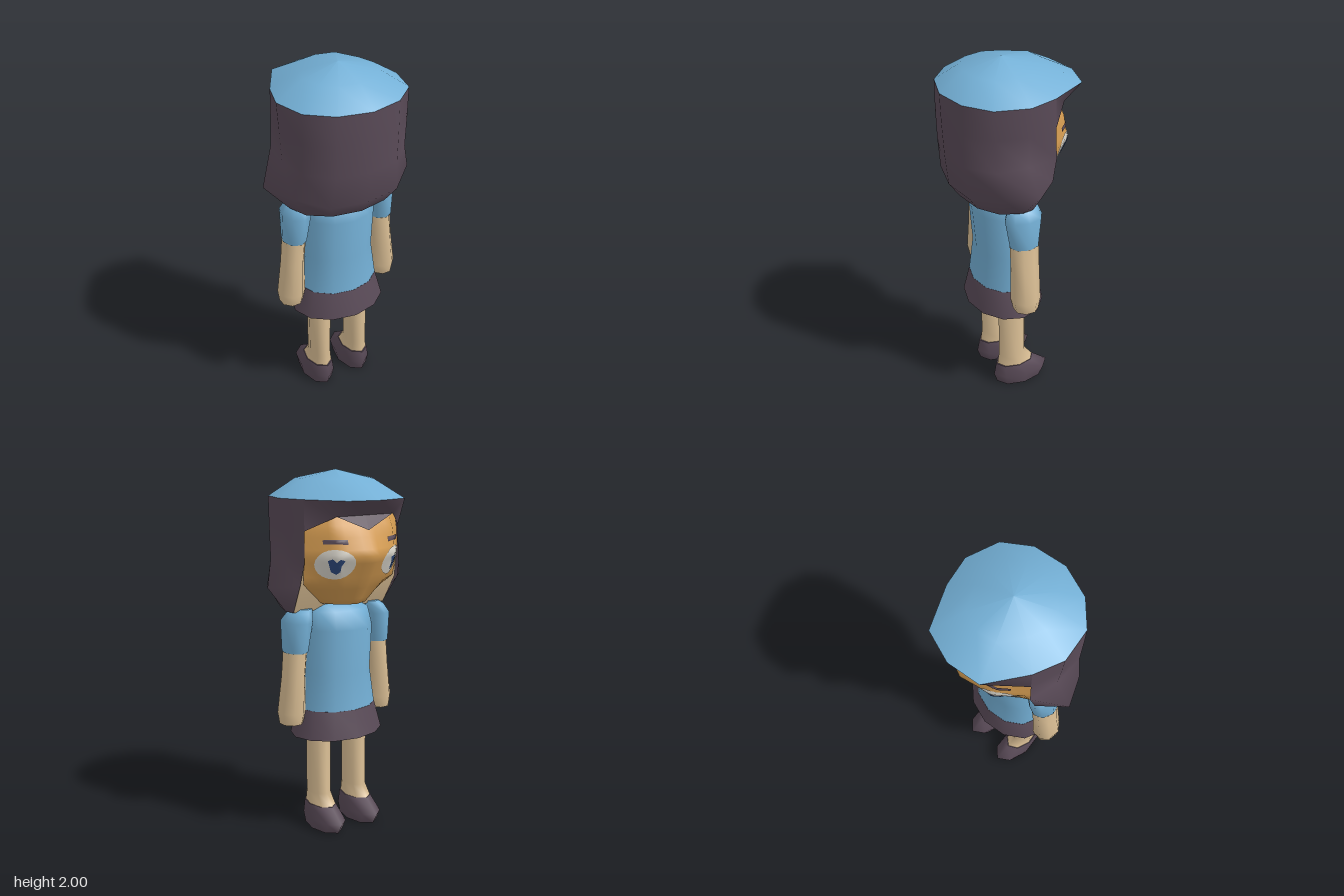
import * as THREE from 'three';

const mat = (name, color, side = THREE.FrontSide) => {
  const m = new THREE.MeshStandardMaterial({ color, side });
  m.name = name;
  return m;
};

// Surface through rows of points (rows run top to bottom, columns from +x towards +z)
function grid(rows, closed = false, caps = false) {
  const n = rows[0].length, pos = rows.flat(2), idx = [];
  for (let i = 0; i < rows.length - 1; i++) {
    for (let j = 0; j < (closed ? n : n - 1); j++) {
      const k = (j + 1) % n, a = i * n + j, b = i * n + k;
      idx.push(a, b, a + n, b, b + n, a + n);
    }
  }
  if (caps) {
    for (const [row, top] of [[rows[0], true], [rows[rows.length - 1], false]]) {
      const base = pos.length / 3;
      const mid = [0, 1, 2].map(c => row.reduce((s, p) => s + p[c], 0) / n);
      pos.push(...mid, ...row.flat());
      for (let j = 0; j < n; j++) {
        const p = base + 1 + j, q = base + 1 + (j + 1) % n;
        idx.push(base, top ? q : p, top ? p : q);
      }
    }
  }
  const g = new THREE.BufferGeometry();
  g.setAttribute('position', new THREE.Float32BufferAttribute(pos, 3));
  g.setIndex(idx);
  g.computeVertexNormals();
  return g;
}

// Elliptical sections: [y, centre x, centre z, radius x, radius z]
const loft = (sections, n, phase = 0) => grid(sections.map(([y, cx, cz, rx, rz]) =>
  Array.from({ length: n }, (_, j) => {
    const a = phase + j / n * Math.PI * 2;
    return [cx + rx * Math.cos(a), y, cz + rz * Math.sin(a)];
  })), true, true);

const flip = ([x, y, z]) => [-x, y, z];
// Half row from +x to the middle, mirrored to a full row
const mirrorRow = half => [...half, ...half.slice(0, -1).reverse().map(flip)];

// Face sections: [y, side x, side z, cheek x, cheek z, middle z]
const FACE = [
  [1.81, 0.295, -0.09, 0.17, -0.19, -0.2],
  [1.70, 0.302, -0.115, 0.18, -0.235, -0.258],
  [1.57, 0.306, -0.122, 0.18, -0.26, -0.318],
  [1.42, 0.295, -0.095, 0.15, -0.2, -0.237],
  [1.295, 0.14, -0.03, 0.09, -0.12, -0.16],
  [1.285, 0.1, 0, 0.05, 0, 0],
];

// Point on the face; u runs from -2 to 2 across it, lift raises it off the surface
function facePoint(u, y, lift = 0) {
  let i = 0;
  while (i < FACE.length - 2 && y < FACE[i + 1][0]) i++;
  const t = (FACE[i][0] - y) / (FACE[i][0] - FACE[i + 1][0]);
  const [, x2, z2, x1, z1, z0] = FACE[i].map((v, k) => v + (FACE[i + 1][k] - v) * t);
  const a = Math.abs(u);
  const x = a < 1 ? x1 * a : x1 + (x2 - x1) * (a - 1);
  const z = a < 1 ? z0 + (z1 - z0) * a : z1 + (z2 - z1) * (a - 1);
  const d = new THREE.Vector3(x * 0.8, 0, z).normalize().multiplyScalar(lift);
  return [Math.sign(u) * (x + d.x), y, z + d.z];
}

// Painted patch on the face from an outline of [u, y] offsets
function patch(u, y, outline, side, lift) {
  const rows = [1, 0.66, 0.33, 0].map(s =>
    outline.map(([du, dy]) => facePoint(side * (u + du * s), y + dy * s, lift)));
  return grid(rows, true);
}

export function createModel() {
  const model = new THREE.Group();
  const blue = mat('blue cloth', 0x74b0d6);
  const dark = mat('dark plum', 0x5a4b58);
  const hairMat = mat('plum hair', 0x5a4b58, THREE.DoubleSide);
  const skin = mat('skin', 0xdcc096);
  const skinPlate = mat('skin under hair', 0xdcc096, THREE.DoubleSide);
  const faceMat = mat('face', 0xd69d52, THREE.DoubleSide);
  const white = mat('eye white', 0xdcd8ce, THREE.DoubleSide);
  const iris = mat('iris blue', 0x304c80, THREE.DoubleSide);
  const add = (name, geo, m, parent = model) => {
    const mesh = new THREE.Mesh(geo, m);
    mesh.name = name;
    parent.add(mesh);
  };

  // Cap: dome over a twelve-sided rim
  const rimBack = mirrorRow([[0.305, 1.86, -0.12], [0.355, 1.86, 0.04], [0.31, 1.86, 0.22],
    [0.18, 1.86, 0.33], [0, 1.86, 0.373]]);
  const rimFront = mirrorRow([[0.305, 1.86, -0.12], [0.18, 1.86, -0.335], [0, 1.86, -0.375]]).reverse();
  const rim = [...rimBack, ...rimFront.slice(1, -1)];
  const scaled = (s, y) => rim.map(([x, , z]) => [x * s, y, 0.035 + (z - 0.015) * s]);
  add('cap', grid([scaled(0, 2), scaled(0.58, 1.955), rim], true), blue);

  // Hair: sides and back, flaring out at the jaw
  const hem = mirrorRow([[0.3, 1.255, -0.005], [0.31, 1.255, 0.06], [0.27, 1.255, 0.17],
    [0.16, 1.255, 0.25], [0, 1.255, 0.28]]);
  add('hair', grid([
    rimBack,
    mirrorRow([[0.305, 1.7, -0.125], [0.343, 1.7, 0.04], [0.31, 1.7, 0.215], [0.18, 1.7, 0.33], [0, 1.7, 0.368]]),
    mirrorRow([[0.31, 1.53, -0.13], [0.33, 1.52, 0.035], [0.31, 1.52, 0.205], [0.18, 1.52, 0.325], [0, 1.52, 0.358]]),
    mirrorRow([[0.322, 1.41, -0.105], [0.44, 1.4, 0.025], [0.35, 1.38, 0.18], [0.2, 1.34, 0.305], [0, 1.34, 0.34]]),
    hem,
  ]), hairMat);

  // Fringe: overhang with a point in the middle
  const peak = [0.18, 1.775, -0.235];
  const line = mirrorRow([[0.305, 1.7, -0.125], peak, [0, 1.775, -0.237]]).reverse();
  add('fringe', grid([rimFront, line]), hairMat);
  const tip = [0, 1.7, -0.266];
  add('fringePoint', grid([line.slice(1, 4), [tip, tip, tip]]), hairMat);

  // Skin between the hair and the jaw, and under the head
  const across = (x, y, z) => [[-x, y, z], [0, y, z], [x, y, z]];
  add('jawSkin', grid([across(0.308, 1.53, -0.11), across(0.318, 1.41, -0.085), across(0.3, 1.255, -0.005)]), skinPlate);
  add('headUnderside', grid([hem, hem.map(() => [0, 1.256, 0.05])]), skinPlate);
  add('neck', loft([[1.31, 0, 0.03, 0.09, 0.09], [1.2, 0, 0.03, 0.1, 0.09]], 8), faceMat);

  // Face, sampled along the same rule as its painted details
  const faceRows = [];
  for (let i = 0; i < FACE.length - 1; i++) {
    for (let k = 0; k < 4; k++) faceRows.push(FACE[i][0] + (FACE[i + 1][0] - FACE[i][0]) * k / 4);
  }
  faceRows.push(FACE[FACE.length - 1][0]);
  add('face', grid(faceRows.map(y => Array.from({ length: 17 }, (_, j) => facePoint(-2 + j / 4, y)))), faceMat);

  const oval = Array.from({ length: 20 }, (_, j) => {
    const a = j / 20 * Math.PI * 2;
    return [0.6 * Math.cos(a), 0.08 * Math.sin(a)];
  });
  const pupil = [[-0.24, 0.03], [-0.1, 0.038], [0, 0.02], [0.12, 0.04], [0.25, 0.03],
    [0.2, 0], [0.15, -0.03], [0, -0.045], [-0.12, -0.03], [-0.14, 0]];
  const brow = [[-0.37, 0.01], [0, 0.014], [0.37, 0.01], [0.37, -0.012], [0, -0.01], [-0.37, -0.014]];

  for (const s of [1, -1]) {
    const side = s > 0 ? 'left' : 'right';
    add(side + 'Eye', patch(1.1, 1.53, oval, s, 0.005), white);
    add(side + 'Pupil', patch(1.07, 1.522, pupil, s, 0.009), iris);
    add(side + 'Brow', patch(1.07, 1.647, brow, s, 0.006), hairMat);

    // Arm: short sleeve and bare forearm
    add(side + 'Sleeve', loft([
      [1.27, s * 0.225, 0.02, 0.045, 0.06], [1.25, s * 0.24, 0.025, 0.06, 0.085],
      [1.2, s * 0.26, 0.03, 0.078, 0.108], [1.035, s * 0.272, 0.03, 0.066, 0.084],
    ], 8), blue);
    add(side + 'Arm', loft([
      [1.035, s * 0.272, 0.03, 0.063, 0.081], [0.9, s * 0.284, 0.03, 0.062, 0.08],
      [0.7, s * 0.297, 0.032, 0.076, 0.084], [0.635, s * 0.3, 0.03, 0.064, 0.07],
    ], 8, Math.PI / 8), skin);

    // Leg and shoe, toes towards -z
    add(side + 'Leg', loft([
      [0.6, s * 0.122, 0.03, 0.062, 0.083], [0.2, s * 0.122, 0.03, 0.06, 0.083],
      [0.135, s * 0.122, 0.01, 0.068, 0.112],
    ], 8), skin);
    add(side + 'Shoe', loft([
      [0.135, s * 0.122, 0.013, 0.072, 0.118], [0.06, s * 0.122, -0.027, 0.088, 0.172],
      [0, s * 0.122, -0.02, 0.08, 0.145],
    ], 8), dark);
  }

  // Shirt and skirt
  add('shirt', loft([
    [1.285, 0, 0.03, 0.13, 0.09], [1.25, 0, 0.03, 0.19, 0.145], [1.15, 0, 0.03, 0.21, 0.18],
    [0.9, 0, 0.03, 0.202, 0.16], [0.7, 0, 0.03, 0.23, 0.182],
  ], 12), blue);
  add('skirt', loft([[0.7, 0, 0.03, 0.231, 0.183], [0.545, 0, 0.03, 0.275, 0.216]], 12), dark);
  return model;
}
